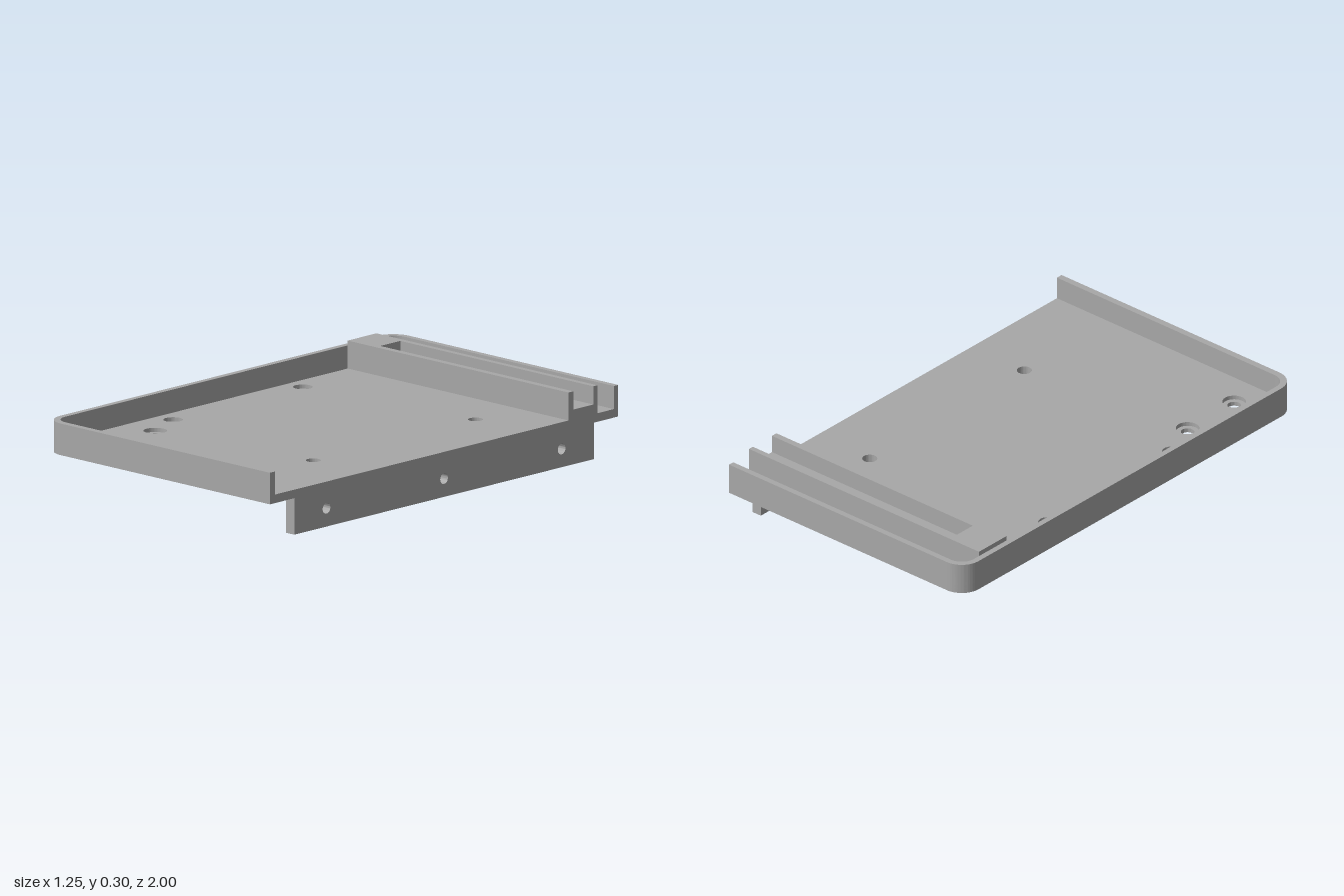
import * as THREE from 'three';
import { toCreasedNormals } from 'three/addons/utils/BufferGeometryUtils.js';

const END = 0.625; // open side of the tray

export function createModel() {
  const model = new THREE.Group();
  model.name = 'mountingTray';
  const grey = new THREE.MeshStandardMaterial({ color: 0xa8a8a8 });
  grey.name = 'plain grey';

  const add = (name, geometry) => {
    const mesh = new THREE.Mesh(toCreasedNormals(geometry, 0.6), grey);
    mesh.name = name;
    model.add(mesh);
    return mesh;
  };

  const circle = (x, y, r) => new THREE.Path().absarc(x, y, r, 0, Math.PI * 2, true);

  // Plan shapes are drawn with shape y = -z, then raised between two heights
  const slab = (name, shape, y0, y1) => {
    const g = new THREE.ExtrudeGeometry(shape, { depth: y1 - y0, bevelEnabled: false, curveSegments: 24 });
    g.rotateX(-Math.PI / 2);
    g.translate(0, y0, 0);
    return add(name, g);
  };

  // Outline with two rounded corners on the closed side
  const outline = () => {
    const s = new THREE.Shape();
    s.moveTo(END, -1);
    s.lineTo(END, 1);
    s.lineTo(-0.535, 1);
    s.absarc(-0.535, 0.91, 0.09, Math.PI / 2, Math.PI, false);
    s.absarc(-0.535, -0.91, 0.09, Math.PI, Math.PI * 1.5, false);
    s.closePath();
    return s;
  };

  // Floor in two layers, so that the screw holes are counterbored: x, z, r, bore r
  const holes = [
    [0.345, -0.47, 0.03, 0.03], [0.345, 0.46, 0.03, 0.03],
    [-0.52, -0.375, 0.022, 0.039], [-0.52, 0.37, 0.022, 0.039],
    [-0.445, 0.55, 0.027, 0.047], [-0.445, 0.83, 0.027, 0.047],
  ];
  const lower = outline();
  const upper = outline();
  for (const [x, z, r, bore] of holes) {
    lower.holes.push(circle(x, -z, r));
    upper.holes.push(circle(x, -z, bore));
  }
  slab('floorLower', lower, 0.15, 0.168);
  slab('floorUpper', upper, 0.168, 0.185);

  // Three-sided rim
  const rim = new THREE.Shape();
  rim.moveTo(END, 0.975);
  rim.lineTo(END, 1);
  rim.lineTo(-0.535, 1);
  rim.absarc(-0.535, 0.91, 0.09, Math.PI / 2, Math.PI, false);
  rim.absarc(-0.535, -0.91, 0.09, Math.PI, Math.PI * 1.5, false);
  rim.lineTo(END, -1);
  rim.lineTo(END, -0.972);
  rim.lineTo(-0.535, -0.972);
  rim.absarc(-0.535, -0.907, 0.065, Math.PI * 1.5, Math.PI, true);
  rim.absarc(-0.535, 0.91, 0.065, Math.PI, Math.PI / 2, true);
  rim.closePath();
  slab('rim', rim, 0.185, 0.28);

  // Raised rail with a slot open at one end
  const base = new THREE.BoxGeometry(END + 0.6, 0.04, 0.165);
  base.translate((END - 0.6) / 2, 0.205, -0.7975);
  add('railBase', base);
  const rail = new THREE.Shape([
    [-0.6, 0.715], [END, 0.715], [END, 0.742], [-0.445, 0.742],
    [-0.445, 0.857], [END, 0.857], [END, 0.88], [-0.6, 0.88],
  ].map(([x, y]) => new THREE.Vector2(x, y)));
  slab('slottedRail', rail, 0.225, 0.3);

  // Hanging flange with three screw holes, drawn in (-z, y)
  const flange = new THREE.Shape();
  flange.moveTo(-0.86, 0);
  flange.lineTo(0.86, 0);
  flange.lineTo(0.86, 0.15);
  flange.lineTo(-0.86, 0.15);
  flange.closePath();
  for (const z of [-0.675, 0, 0.675]) flange.holes.push(circle(z, 0.075, 0.022));
  const fg = new THREE.ExtrudeGeometry(flange, { depth: 0.045, bevelEnabled: false, curveSegments: 24 });
  fg.rotateY(Math.PI / 2);
  fg.translate(END - 0.045, 0, 0);
  add('mountingFlange', fg);

  return model;
}
